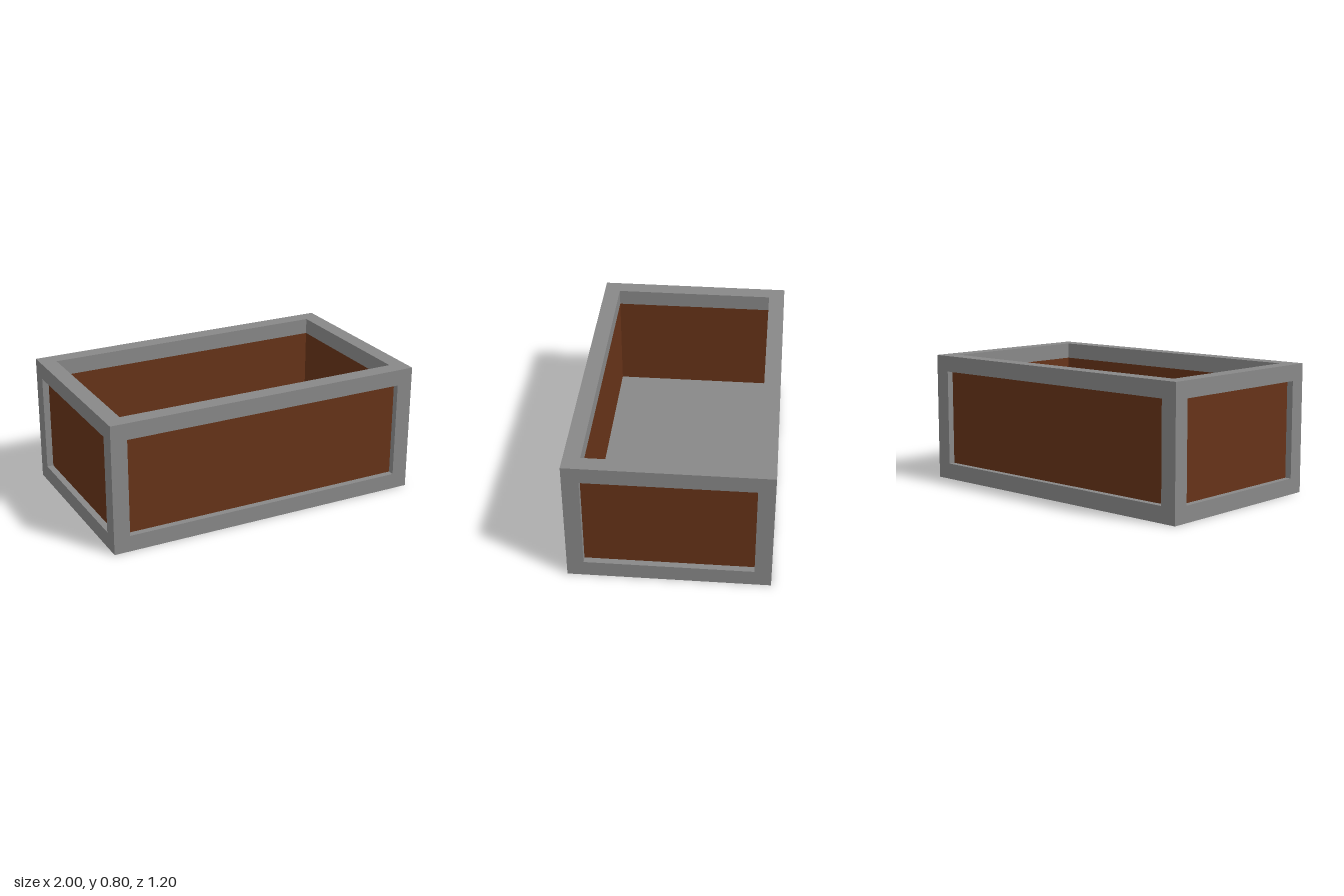
import * as THREE from 'three';

export function createModel() {
  const model = new THREE.Group();
  const frameMat = new THREE.MeshStandardMaterial({ color: 0x888888 });
  const panelMat = new THREE.MeshStandardMaterial({ color: 0x663318 });

  const W = 2, H = 0.8, D = 1.2; // outer size
  const T = 0.1;                 // frame thickness
  const recess = 0.04;           // panels sit back from the outer face
  const P = T - recess;          // panel thickness, flush with the inside

  function box(name, w, h, d, x, y, z, mat = frameMat) {
    const mesh = new THREE.Mesh(new THREE.BoxGeometry(w, h, d), mat);
    mesh.name = name;
    mesh.position.set(x, y, z);
    model.add(mesh);
  }

  // Base slab, which also forms the lower rails
  box('floor', W, T, D, 0, T / 2, 0);

  // Top rim, cut from one shape with a hole
  const rect = (S, w, d) => new S([
    new THREE.Vector2(-w / 2, -d / 2), new THREE.Vector2(w / 2, -d / 2),
    new THREE.Vector2(w / 2, d / 2), new THREE.Vector2(-w / 2, d / 2),
  ]);
  const rimShape = rect(THREE.Shape, W, D);
  rimShape.holes.push(rect(THREE.Path, W - 2 * T, D - 2 * T));
  const rim = new THREE.Mesh(
    new THREE.ExtrudeGeometry(rimShape, { depth: T, bevelEnabled: false }).rotateX(-Math.PI / 2),
    frameMat
  );
  rim.name = 'topRim';
  rim.position.y = H - T;
  model.add(rim);

  // Corner posts and recessed panels
  const h = H - 2 * T, y = H / 2;
  for (const s of [-1, 1]) {
    for (const t of [-1, 1]) {
      box('cornerPost', T, h, T, s * (W - T) / 2, y, t * (D - T) / 2);
    }
    box(s > 0 ? 'frontPanel' : 'backPanel', W - 2 * T, h, P, 0, y, s * (D / 2 - T + P / 2), panelMat);
    box(s > 0 ? 'leftPanel' : 'rightPanel', P, h, D - 2 * T, s * (W / 2 - T + P / 2), y, 0, panelMat);
  }
  return model;
}
